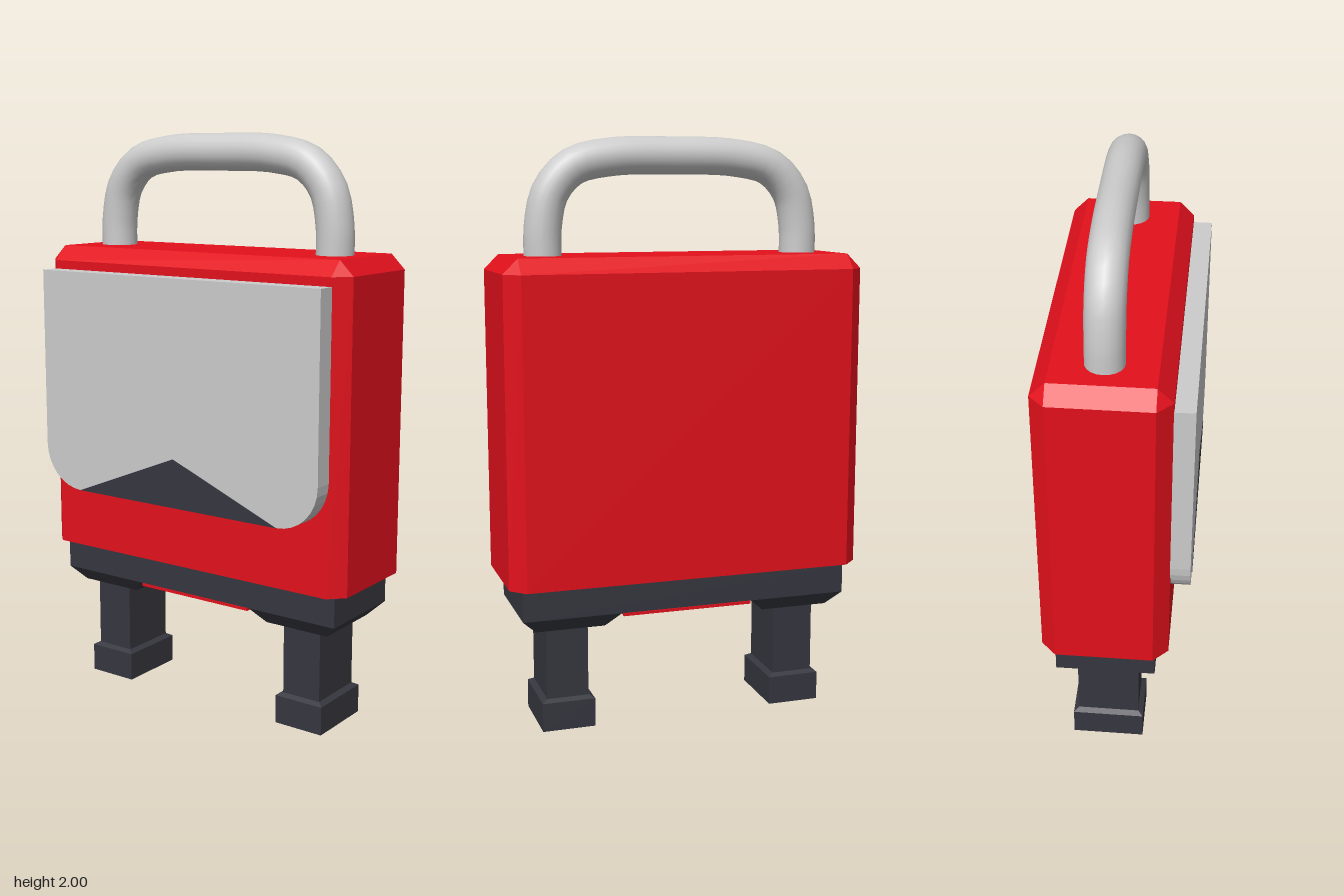
import * as THREE from 'three';

const CX = 0.03; // centre line of the body in x
const red = new THREE.MeshStandardMaterial({ color: 0xe3101c, flatShading: true });
const dark = new THREE.MeshStandardMaterial({ color: 0x36373f, flatShading: true });
const grey = new THREE.MeshStandardMaterial({ color: 0xcccccc, flatShading: true });
const smoothGrey = new THREE.MeshStandardMaterial({ color: 0xcccccc });

function mesh(name, geometry, material, x = 0, y = 0, z = 0) {
  const m = new THREE.Mesh(geometry, material);
  m.name = name;
  m.position.set(x, y, z);
  return m;
}

// Solid stacked from rectangular rings with cut corners: [y, halfX, halfZ, cornerCut]
function stack(rings) {
  const pos = [], idx = [], n = 8;
  for (const [y, hx, hz, c] of rings) {
    const a = hx - c, b = hz - c;
    for (const [x, z] of [[hx, b], [hx, -b], [a, -hz], [-a, -hz], [-hx, -b], [-hx, b], [-a, hz], [a, hz]]) pos.push(x, y, z);
  }
  for (let r = 0; r < rings.length - 1; r++) {
    for (let i = 0; i < n; i++) {
      const a = r * n + i, b = r * n + (i + 1) % n;
      idx.push(a, b, b + n, a, b + n, a + n);
    }
  }
  const t = (rings.length - 1) * n;
  for (let i = 1; i < n - 1; i++) idx.push(0, i + 1, i, t, t + i, t + i + 1);
  const g = new THREE.BufferGeometry();
  g.setAttribute('position', new THREE.Float32BufferAttribute(pos, 3));
  g.setIndex(idx);
  const flat = g.toNonIndexed();
  flat.computeVertexNormals();
  return flat;
}

// Extrudes a shape drawn in (z, y) towards -x, starting at x = 0
function sidePanel(shape, depth) {
  const g = new THREE.ExtrudeGeometry(shape, { depth, bevelEnabled: false, curveSegments: 4 });
  return g.rotateY(-Math.PI / 2);
}

export function createModel() {
  const group = new THREE.Group();

  // Bevelled case
  group.add(mesh('body', stack([
    [0.51, 0.165, 0.572, 0], [0.522, 0.215, 0.622, 0.05],
    [1.56, 0.215, 0.622, 0.05], [1.61, 0.165, 0.572, 0],
  ]), red, CX));

  // Base with its underside panel
  group.add(mesh('base', new THREE.BoxGeometry(0.34, 0.1, 1.156), dark, CX, 0.46, 0));
  group.add(mesh('undersidePanel', new THREE.BoxGeometry(0.336, 0.01, 0.46), red, CX, 0.412 - 0.009, 0));

  // Two legs, each with a tapered pad and a foot
  for (const s of [1, -1]) {
    const leg = new THREE.Group();
    leg.name = s > 0 ? 'frontLeg' : 'backLeg';
    leg.position.set(CX, 0, s * 0.415);
    leg.add(mesh('pad', stack([[0.36, 0.132, 0.12, 0], [0.41, 0.17, 0.17, 0]]), dark, 0, 0, -s * 0.007));
    leg.add(mesh('shaft', new THREE.BoxGeometry(0.215, 0.28, 0.145), dark, 0, 0.23, 0));
    leg.add(mesh('foot', stack([[0, 0.125, 0.092, 0], [0.1, 0.125, 0.092, 0], [0.11, 0.108, 0.074, 0]]), dark));
    group.add(leg);
  }

  // Carrying handle
  const half = [[0.455, 1.58], [0.452, 1.71], [0.425, 1.82], [0.35, 1.9], [0.22, 1.932]];
  const path = [
    ...half.map(([z, y]) => new THREE.Vector3(0, y, z)),
    new THREE.Vector3(0, 1.938, 0),
    ...half.slice().reverse().map(([z, y]) => new THREE.Vector3(0, y, -z)),
  ];
  group.add(mesh('handle', new THREE.TubeGeometry(new THREE.CatmullRomCurve3(path), 36, 0.063, 20), smoothGrey, CX));

  // Side plate with rounded lower corners
  const w = 0.575, top = 1.53, low = 0.75, r = 0.155;
  const plate = new THREE.Shape();
  plate.moveTo(-w, top);
  plate.lineTo(-w, low + r);
  plate.absarc(-w + r, low + r, r, Math.PI, Math.PI * 1.5, false);
  plate.lineTo(w - r, low);
  plate.absarc(w - r, low + r, r, -Math.PI / 2, 0, false);
  plate.lineTo(w, top);
  group.add(mesh('sidePlate', sidePanel(plate, 0.066), grey, -0.184));

  // Dark triangular mark at the foot of the plate
  const mark = new THREE.Shape([
    new THREE.Vector2(-w + r, low), new THREE.Vector2(w - r, low), new THREE.Vector2(0, 0.92),
  ]);
  group.add(mesh('plateMark', sidePanel(mark, 0.003), dark, -0.249));

  return group;
}
